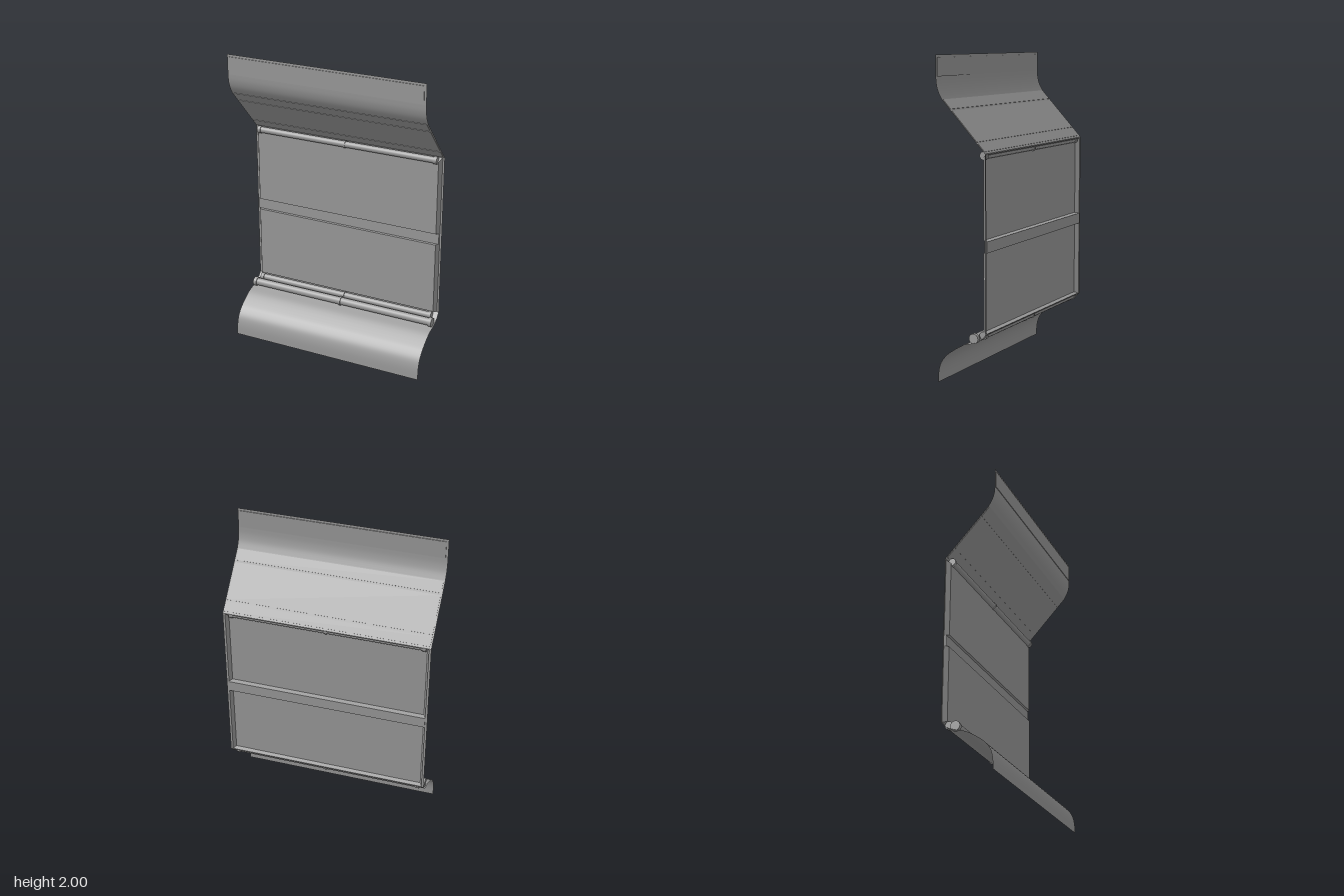
import * as THREE from 'three';
import { toCreasedNormals } from 'three/addons/utils/BufferGeometryUtils.js';

export function createModel() {
  const model = new THREE.Group();
  model.name = 'panelAssembly';
  const grey = new THREE.MeshStandardMaterial({ color: 0xa0a0a0, side: THREE.DoubleSide });
  grey.name = 'plain grey';
  const W = 0.675;

  const add = (name, geometry, parent = model) => {
    const mesh = new THREE.Mesh(geometry, grey);
    mesh.name = name;
    parent.add(mesh);
    return mesh;
  };

  // Thin sheet running across x, following a [z, y] profile
  const sheet = (name, profile, halfWidth = W) => {
    const g = new THREE.PlaneGeometry(1, 1, 1, profile.length - 1);
    const p = g.attributes.position;
    profile.forEach(([z, y], i) => {
      p.setXYZ(2 * i, -halfWidth, y, z);
      p.setXYZ(2 * i + 1, halfWidth, y, z);
    });
    return add(name, toCreasedNormals(g, 0.5));
  };
  const smooth = (points, n) =>
    new THREE.SplineCurve(points.map(([z, y]) => new THREE.Vector2(z, y)))
      .getPoints(n).map(v => [v.x, v.y]);

  // Upper sheet: sloping hood that bends up into a vertical flap
  const slopeStart = [-0.165, 1.425], slopeEnd = [0.125, 1.735];
  sheet('hoodSheet', [
    slopeStart,
    ...smooth([slopeEnd, [0.15, 1.78], [0.163, 1.825], [0.167, 1.87]], 14),
    [0.167, 2],
  ]);

  // Lower sheet: nearly level under the rollers, then curving down
  sheet('apronSheet', smooth([
    [-0.165, 0.335], [-0.13, 0.297], [-0.075, 0.272], [0, 0.25], [0.08, 0.2],
    [0.117, 0.168], [0.148, 0.125], [0.164, 0.07], [0.168, 0],
  ], 32));

  // Raised strips lying on the hood slope
  const slopeAngle = Math.atan2(slopeEnd[1] - slopeStart[1], slopeEnd[0] - slopeStart[0]);
  const zAt = y => slopeStart[0] + (y - slopeStart[1]) / Math.tan(slopeAngle);
  for (const [low, high] of [[1.435, 1.48], [1.49, 1.67], [1.68, 1.735]]) {
    const length = (high - low) / Math.sin(slopeAngle);
    const strip = add('hoodStrip', new THREE.BoxGeometry(1.33, length, 0.005));
    strip.position.set(0, (low + high) / 2, zAt((low + high) / 2));
    strip.rotation.x = Math.PI / 2 - slopeAngle;
  }

  // Plate on the top flap
  add('flapPlate', new THREE.BoxGeometry(1.32, 0.113, 0.009)).position.set(0, 1.928, 0.167);

  // Trays open at the back, with sloping walls
  const tray = (name, x, y0, y1, X, Y0, Y1) => {
    const f = -0.138, b = -0.165;
    const g = new THREE.BufferGeometry();
    g.setAttribute('position', new THREE.Float32BufferAttribute([
      -x, y0, f, x, y0, f, x, y1, f, -x, y1, f,
      -X, Y0, b, X, Y0, b, X, Y1, b, -X, Y1, b], 3));
    const index = [0, 1, 2, 0, 2, 3];
    for (let i = 0; i < 4; i++) {
      const j = (i + 1) % 4;
      index.push(i, i + 4, j + 4, i, j + 4, j);
    }
    g.setIndex(index);
    add(name, toCreasedNormals(g, 0.2));
  };
  tray('upperTray', 0.645, 0.905, 1.4, 0.662, 0.9, 1.42);
  tray('lowerTray', 0.645, 0.345, 0.828, 0.662, 0.335, 0.832);

  // Flat rim round the trays
  const rectangle = (Type, x, y0, y1) => new Type().setFromPoints(
    [[-x, y0], [x, y0], [x, y1], [-x, y1]].map(c => new THREE.Vector2(...c)));
  const rim = rectangle(THREE.Shape, W, 0.333, 1.425);
  rim.holes.push(rectangle(THREE.Path, 0.66, 0.338, 1.418));
  add('trayRim', new THREE.ShapeGeometry(rim)).position.z = -0.165;

  // Bar between the trays
  add('middleBar', new THREE.BoxGeometry(1.32, 0.07, 0.018)).position.set(0, 0.866, -0.161);

  // Rollers with end caps and a centre joint
  const roller = (name, half, radius, y, z) => {
    const group = new THREE.Group();
    group.name = name;
    group.position.set(0, y, z);
    group.rotation.z = Math.PI / 2;
    model.add(group);
    const part = (label, r, length, offset) => {
      add(label, new THREE.CylinderGeometry(r, r, length, 24), group).position.y = offset;
    };
    part('rollerTube', radius * 0.82, half * 2 - 0.02, 0);
    part('rollerJoint', radius, 0.012, 0);
    for (const s of [-1, 1]) part('rollerCap', radius, 0.024, s * (half - 0.012));
  };
  roller('upperRoller', 0.64, 0.025, 1.41, -0.135);
  roller('lowerRearRoller', 0.64, 0.025, 0.32, -0.13);
  roller('lowerFrontRoller', 0.667, 0.031, 0.3, -0.077);

  return model;
}
